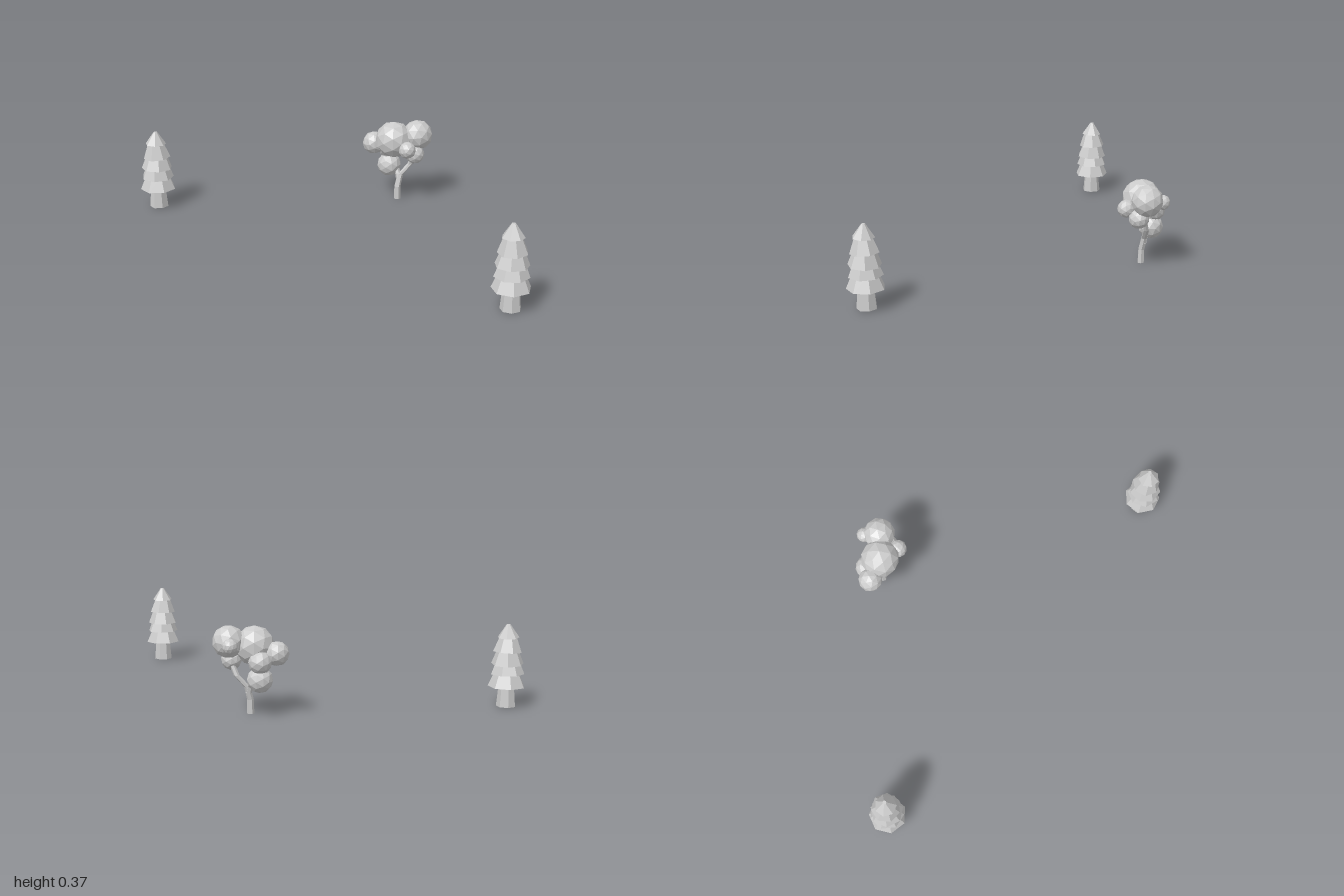
import * as THREE from 'three';

const grey = new THREE.MeshStandardMaterial({ color: 0xcccccc, flatShading: true });

function addMesh(parent, name, geometry, x = 0, y = 0, z = 0) {
  const mesh = new THREE.Mesh(geometry, grey);
  mesh.name = name;
  mesh.position.set(x, y, z);
  parent.add(mesh);
  return mesh;
}

// Pine: tapered trunk and five overlapping, slightly twisted and tilted skirts
function pine(name, spin) {
  const tree = new THREE.Group();
  tree.name = name;
  addMesh(tree, 'pineTrunk', new THREE.CylinderGeometry(0.031, 0.042, 0.12, 7), 0, 0.06, 0)
    .rotation.y = spin;
  // bottom height, top height, bottom radius, top radius
  const tiers = [
    [0.086, 0.155, 0.079, 0.049],
    [0.14, 0.195, 0.072, 0.05],
    [0.182, 0.245, 0.069, 0.044],
    [0.235, 0.305, 0.061, 0.034],
    [0.296, 0.352, 0.046, 0.008],
  ];
  tiers.forEach(([y0, y1, r0, r1], i) => {
    const skirt = addMesh(tree, 'pineTier' + (i + 1),
      new THREE.CylinderGeometry(r1, r0, y1 - y0, 7), 0, (y0 + y1) / 2, 0);
    const tilt = i === 0 ? 0 : 0.04;
    skirt.rotation.set(tilt * Math.sin(i * 2.4), spin + i * 0.35, tilt * Math.cos(i * 2.4));
  });
  return tree;
}

// Tapered limb: a cylinder whose rings are moved onto a curve
function limb(points, r0, r1) {
  const curve = new THREE.CatmullRomCurve3(points.map((p) => new THREE.Vector3(...p)));
  const geometry = new THREE.CylinderGeometry(r1, r0, 1, 6, 5);
  const pos = geometry.attributes.position;
  for (let i = 0; i < pos.count; i++) {
    const c = curve.getPoint(pos.getY(i) + 0.5);
    pos.setXYZ(i, pos.getX(i) + c.x, c.y, pos.getZ(i) + c.z);
  }
  geometry.computeVertexNormals();
  return geometry;
}

// Broadleaf tree: forked trunk carrying faceted balls of leaves
function leafyTree() {
  const tree = new THREE.Group();
  tree.name = 'leafyTree';
  addMesh(tree, 'trunk', limb([
    [-0.09, 0, -0.318], [-0.09, 0.06, -0.32], [-0.085, 0.115, -0.335],
    [-0.05, 0.165, -0.362], [-0.025, 0.22, -0.365], [-0.024, 0.3, -0.376],
  ], 0.015, 0.011));
  addMesh(tree, 'leftBranch', limb([
    [-0.088, 0.09, -0.33], [-0.105, 0.14, -0.335], [-0.14, 0.19, -0.345], [-0.18, 0.25, -0.3],
  ], 0.014, 0.009));
  // x, y, z, radius
  const balls = [
    [-0.104, 0.287, -0.309, 0.084],
    [-0.022, 0.306, -0.379, 0.069],
    [-0.199, 0.26, -0.287, 0.052],
    [-0.013, 0.26, -0.284, 0.039],
    [-0.013, 0.225, -0.345, 0.044],
    [-0.147, 0.152, -0.334, 0.055],
    [-0.064, 0.297, -0.429, 0.033],
    [-0.155, 0.228, -0.345, 0.05],
  ];
  balls.forEach(([x, y, z, r], i) => {
    addMesh(tree, 'leafBall' + (i + 1), new THREE.IcosahedronGeometry(r, 1), x, y, z)
      .rotation.set(i * 0.7, i * 1.3, i * 0.4);
  });
  return tree;
}

export function createModel() {
  const model = new THREE.Group();
  model.name = 'trees';
  [['rightPine', -0.922, 0.2], ['leftPine', 0.918, 0.65]].forEach(([name, x, spin]) => {
    const tree = pine(name, spin);
    tree.position.set(x, 0, 0.385);
    model.add(tree);
  });
  model.add(leafyTree());
  return model;
}
